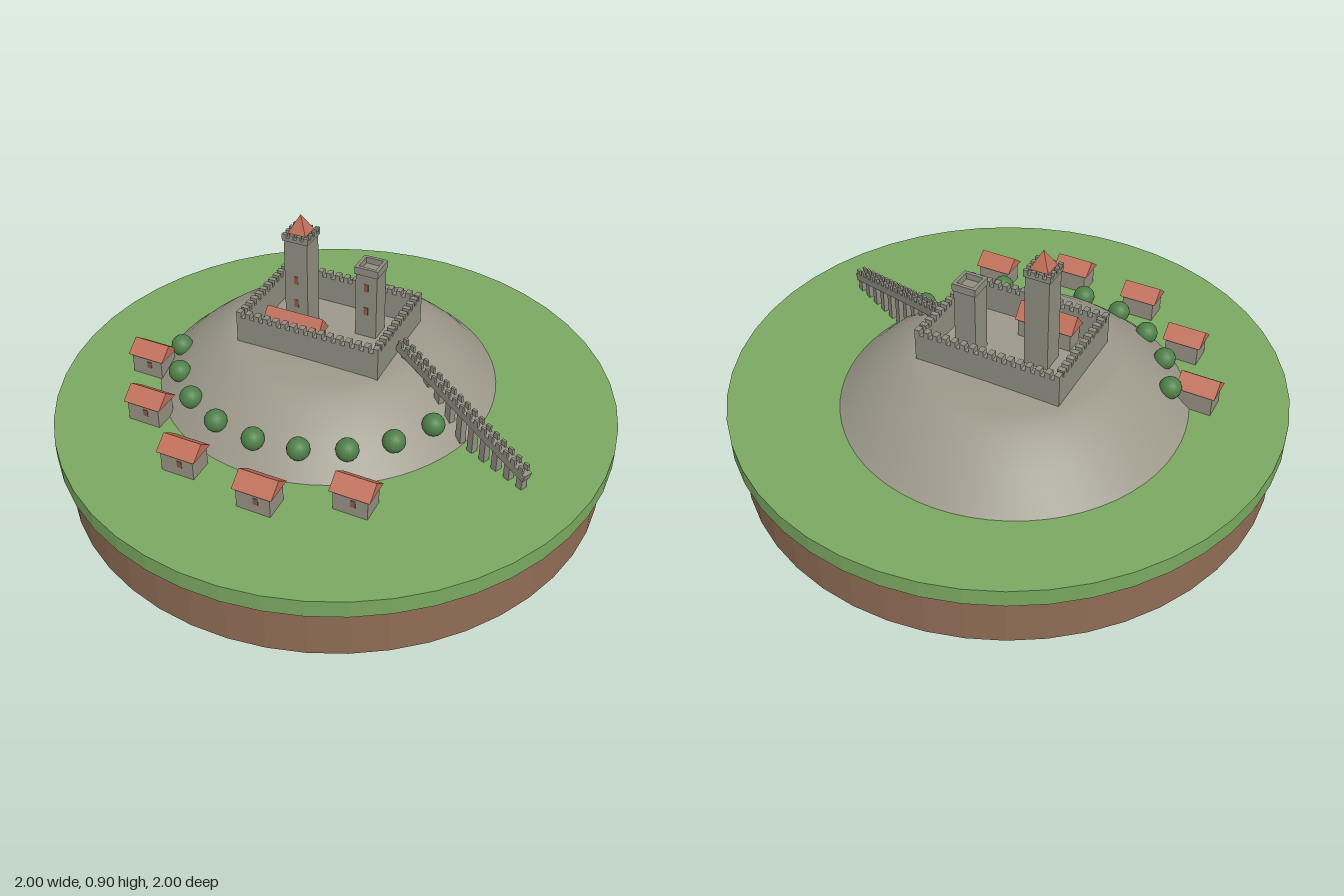
import * as THREE from 'three';

const mat = (name, color, flatShading = false) => {
  const m = new THREE.MeshStandardMaterial({ color, flatShading });
  m.name = name;
  return m;
};

export function createModel() {
  const grass = mat('grass', 0x7aa860, true);
  const soil = mat('soil', 0x8f6c54, true);
  const rock = mat('rock', 0x9c988a);
  const stone = mat('stone', 0x908e81);
  const plaster = mat('house stone', 0x979184);
  const tile = mat('roof tile', 0xc0705a, true);
  const leaf = mat('leaves', 0x4f8048);
  const opening = mat('openings', 0x8a5846);

  const model = new THREE.Group();
  model.name = 'castleHill';

  const add = (parent, name, geo, material, x = 0, y = 0, z = 0) => {
    const m = new THREE.Mesh(geo, material);
    m.name = name;
    m.position.set(x, y, z);
    parent.add(m);
    return m;
  };
  const group = (parent, name, x = 0, y = 0, z = 0, ry = 0) => {
    const g = new THREE.Group();
    g.name = name;
    g.position.set(x, y, z);
    g.rotation.y = ry;
    parent.add(g);
    return g;
  };
  // Box standing on height y
  const box = (parent, name, w, h, d, material, x, y, z) =>
    add(parent, name, new THREE.BoxGeometry(w, h, d), material, x, y + h / 2, z);

  // Gabled prism with its ridge along x
  const gable = (parent, len, width, h, x, y, z) => {
    const s = new THREE.Shape();
    s.moveTo(-width / 2, 0);
    s.lineTo(width / 2, 0);
    s.lineTo(0, h);
    s.closePath();
    const g = new THREE.ExtrudeGeometry(s, { depth: len, bevelEnabled: false });
    g.translate(0, 0, -len / 2).rotateY(Math.PI / 2);
    return add(parent, 'roof', g, tile, x, y, z);
  };

  // Four walls around a rectangle
  const wallRing = (parent, name, w, d, t, y, h) => {
    for (const s of [-1, 1]) {
      box(parent, name, w, h, t, stone, 0, y, s * (d - t) / 2);
      box(parent, name, t, h, d - 2 * t, stone, s * (w - t) / 2, y, 0);
    }
  };

  // Merlons along the outer edge of a rectangle
  const merlons = (parent, w, d, nx, nz, size, t, y, h) => {
    for (const s of [-1, 1]) {
      for (let i = 0; i < nx; i++)
        box(parent, 'merlon', size, h, t, stone, (i / (nx - 1) - 0.5) * (w - size), y, s * (d - t) / 2);
      for (let i = 1; i < nz - 1; i++)
        box(parent, 'merlon', t, h, size, stone, s * (w - t) / 2, y, (i / (nz - 1) - 0.5) * (d - size));
    }
  };

  // Round base
  add(model, 'soilBase', new THREE.CylinderGeometry(0.97, 0.97, 0.2, 48), soil, 0, 0.1, 0);
  add(model, 'grassDisc', new THREE.CylinderGeometry(1, 1, 0.065, 48), grass, 0, 0.2325, 0);

  // Hill
  const profile = [[0.615, 0.264], [0.59, 0.285], [0.55, 0.325], [0.49, 0.374], [0.42, 0.419],
    [0.37, 0.444], [0.33, 0.455], [0.2, 0.458], [0, 0.459]].map(([r, y]) => new THREE.Vector2(r, y));
  add(model, 'hill', new THREE.LatheGeometry(profile, 64), rock, -0.037, 0, -0.105);

  // Castle
  const turn = -0.35;
  const castle = group(model, 'castle', -0.03, 0, -0.1, turn);
  wallRing(castle, 'curtainWall', 0.54, 0.39, 0.026, 0.445, 0.112);
  merlons(castle, 0.54, 0.39, 16, 12, 0.019, 0.026, 0.557, 0.02);

  const windowsOn = (tower, half) => {
    for (const y of [0.55, 0.645]) box(tower, 'window', 0.016, 0.03, 0.004, opening, 0, y, half);
  };

  // Tall tower with pointed roof
  const keep = group(castle, 'tallTower', -0.112, 0, -0.004);
  box(keep, 'shaft', 0.088, 0.37, 0.088, stone, 0, 0.45, 0);
  box(keep, 'cap', 0.098, 0.012, 0.098, stone, 0, 0.812, 0);
  merlons(keep, 0.098, 0.098, 4, 4, 0.016, 0.012, 0.824, 0.014);
  box(keep, 'roofBase', 0.06, 0.016, 0.06, stone, 0, 0.822, 0);
  const spire = add(keep, 'pointedRoof', new THREE.ConeGeometry(0.048, 0.064, 4), tile, 0, 0.868, 0);
  spire.rotation.y = Math.PI / 4;
  windowsOn(keep, 0.044);

  // Lower tower with open parapet
  const tower = group(castle, 'lowerTower', 0.13, 0, -0.058);
  box(tower, 'shaft', 0.08, 0.265, 0.08, stone, 0, 0.45, 0);
  wallRing(tower, 'parapet', 0.088, 0.088, 0.012, 0.71, 0.028);
  windowsOn(tower, 0.04);

  // Hall inside the wall
  const hall = group(castle, 'hall', -0.079, 0, 0.117);
  box(hall, 'walls', 0.2, 0.08, 0.075, plaster, 0, 0.45, 0);
  gable(hall, 0.216, 0.09, 0.055, 0, 0.528, 0);

  // Village houses
  for (const [x, z] of [[-0.68, -0.07], [-0.63, 0.205], [-0.46, 0.457], [-0.187, 0.607], [0.118, 0.59]]) {
    const house = group(model, 'house', x, 0, z, turn);
    box(house, 'walls', 0.122, 0.08, 0.09, plaster, 0, 0.265, 0);
    gable(house, 0.142, 0.107, 0.043, 0, 0.343, 0);
    box(house, 'window', 0.018, 0.026, 0.004, opening, 0.01, 0.3, 0.045);
  }

  // Trees in an arc on the foot of the hill
  for (let i = 0; i < 9; i++) {
    const a = Math.PI - i * 0.297;
    const tree = group(model, 'tree', -0.037 + 0.541 * Math.cos(a), 0, -0.105 + 0.541 * Math.sin(a));
    add(tree, 'trunk', new THREE.CylinderGeometry(0.008, 0.01, 0.06, 8), soil, 0, 0.31, 0);
    add(tree, 'crown', new THREE.SphereGeometry(0.04, 16, 12), leaf, 0, 0.352, 0);
  }

  // Sloping bridge on piers, running from the castle wall to the meadow
  const bridge = group(model, 'bridge', 0.225, 0, 0.013, -0.81);
  const run = 0.628, drop = 0.17, n = 18, slope = Math.atan2(drop, run);
  const deck = add(bridge, 'deck', new THREE.BoxGeometry(Math.hypot(run, drop), 0.028, 0.034), stone,
    run / 2, 0.488 - drop / 2, 0);
  deck.rotation.z = -slope;
  for (let i = 0; i < n; i++) {
    const t = (i + 0.5) / n;
    for (const s of [-1, 1])
      box(bridge, 'merlon', 0.018, 0.026, 0.009, stone, t * run, 0.497 - t * drop, s * 0.0125);
  }
  for (let i = 0; i < 11; i++) {
    const t = (i + 0.65) / 11;
    box(bridge, 'pier', 0.024, 0.223 - t * drop, 0.026, stone, t * run, 0.262, 0);
  }

  return model;
}
